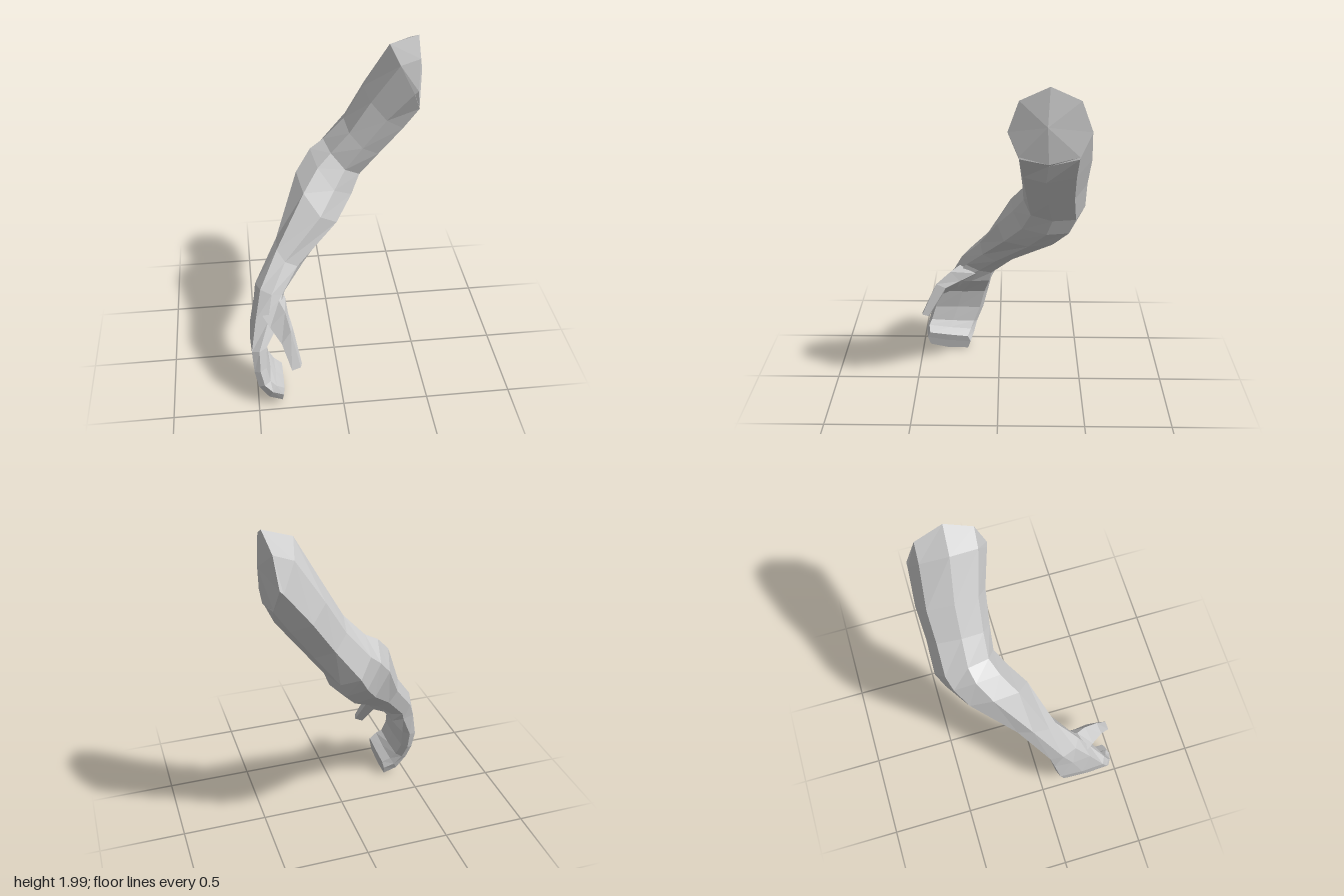
import * as THREE from 'three';

const V = (p) => new THREE.Vector3(...p);
const mean = (pts) => pts.reduce((s, p) => s.add(p), new THREE.Vector3()).divideScalar(pts.length);

// Eight-sided section from its top, front, bottom and back points; corners are pushed outward.
function octagon(four, bulge) {
  const pts = four.map(V);
  const c = mean(pts);
  return pts.flatMap((p, i) => {
    const corner = p.clone().add(pts[(i + 1) % 4]).multiplyScalar(0.5).sub(c).multiplyScalar(bulge).add(c);
    return [p, corner];
  });
}

// Skin a list of rings, optionally closing either end around a centre point.
function loft(name, rings, startCentre, endCentre) {
  const pos = [];
  const tri = (...ps) => ps.forEach((p) => pos.push(p.x, p.y, p.z));
  const n = rings[0].length;
  for (let r = 0; r < rings.length - 1; r++) {
    for (let i = 0; i < n; i++) {
      const j = (i + 1) % n;
      const [a, b, c, d] = [rings[r][i], rings[r][j], rings[r + 1][i], rings[r + 1][j]];
      tri(a, c, b);
      tri(b, c, d);
    }
  }
  const last = rings[rings.length - 1];
  for (let i = 0; i < n; i++) {
    const j = (i + 1) % n;
    if (startCentre) tri(startCentre, rings[0][i], rings[0][j]);
    if (endCentre) tri(endCentre, last[j], last[i]);
  }
  const geo = new THREE.BufferGeometry();
  geo.setAttribute('position', new THREE.Float32BufferAttribute(pos, 3));
  geo.computeVertexNormals();
  const mesh = new THREE.Mesh(geo, new THREE.MeshStandardMaterial({ color: 0xcccccc, flatShading: true }));
  mesh.name = name;
  return mesh;
}

export function createModel() {
  const group = new THREE.Group();
  group.name = 'arm';

  // Upper arm sections, shoulder to elbow: top, front, bottom, back
  const upper = [
    [[0.5, 2.0, -0.26], [0.47, 1.76, -0.05], [0.51, 1.6, -0.26], [0.47, 1.76, -0.48]],
    [[0.34, 1.95, -0.27], [0.45, 1.74, -0.055], [0.5, 1.59, -0.26], [0.45, 1.74, -0.48]],
    [[0.2, 1.69, -0.3], [0.31, 1.56, -0.11], [0.45, 1.48, -0.25], [0.31, 1.56, -0.495]],
    [[0.09, 1.49, -0.305], [0.18, 1.38, -0.13], [0.32, 1.31, -0.27], [0.19, 1.38, -0.485]],
    [[-0.03, 1.36, -0.31], [0.08, 1.24, -0.14], [0.2, 1.16, -0.3], [0.05, 1.19, -0.49]],
  ].map((s) => octagon(s, 1.45));

  // Forearm sections, elbow to wrist
  const lower = [
    [[-0.11, 1.31, -0.29], [0.01, 1.14, -0.08], [0.16, 1.06, -0.27], [0.0, 1.1, -0.45]],
    [[-0.2, 1.2, -0.22], [-0.08, 1.02, 0.01], [0.06, 0.94, -0.17], [-0.07, 1.0, -0.38]],
    [[-0.34, 0.87, -0.03], [-0.3, 0.8, 0.12], [-0.18, 0.73, 0.02], [-0.25, 0.78, -0.13]],
    [[-0.48, 0.66, 0.12], [-0.39, 0.66, 0.24], [-0.31, 0.6, 0.13], [-0.4, 0.58, 0.02]],
  ].map((s) => octagon(s, 1.45));

  // Curled mitten hand: outer x, y, inner x, y, front z, back z, lift of the front edge
  const palm = [
    [-0.5, 0.53, -0.34, 0.51, 0.31, 0.05, 0],
    [-0.53, 0.36, -0.43, 0.39, 0.4, 0.08, 0],
    [-0.52, 0.24, -0.44, 0.27, 0.44, 0.11, 0],
    [-0.5, 0.14, -0.42, 0.18, 0.465, 0.15, 0.01],
    [-0.44, 0.05, -0.39, 0.145, 0.48, 0.17, 0.03],
    [-0.36, 0.01, -0.345, 0.115, 0.47, 0.19, 0.03],
  ].map(([ox, oy, ix, iy, zf, zb, lift]) => {
    const [x, y, z] = [(ox + ix) / 2, (oy + iy) / 2, (zf + zb) / 2];
    return octagon([[ox, oy, z], [x, y + lift, zf], [ix, iy, z], [x, y, zb]], 1.75);
  });

  // Thumb: four-sided sections from the wrist to the tip
  const thumb = [
    [[-0.45, 0.55, 0.29], [-0.35, 0.62, 0.25], [-0.31, 0.58, 0.15], [-0.4, 0.5, 0.19]],
    [[-0.41, 0.5, 0.34], [-0.32, 0.585, 0.31], [-0.3, 0.53, 0.25], [-0.37, 0.45, 0.27]],
    [[-0.35, 0.44, 0.42], [-0.295, 0.51, 0.4], [-0.28, 0.49, 0.34], [-0.335, 0.42, 0.36]],
    [[-0.3, 0.3, 0.495], [-0.25, 0.315, 0.49], [-0.24, 0.31, 0.45], [-0.29, 0.285, 0.45]],
  ].map((s) => s.map(V));

  group.add(
    loft('upperArm', upper, V([0.525, 1.8, -0.25])),
    loft('forearm', [upper[4], ...lower]),
    loft('hand', [lower[3], ...palm], null, mean(palm[5])),
    loft('thumb', thumb, mean(thumb[0]), mean(thumb[3])),
  );
  return group;
}
